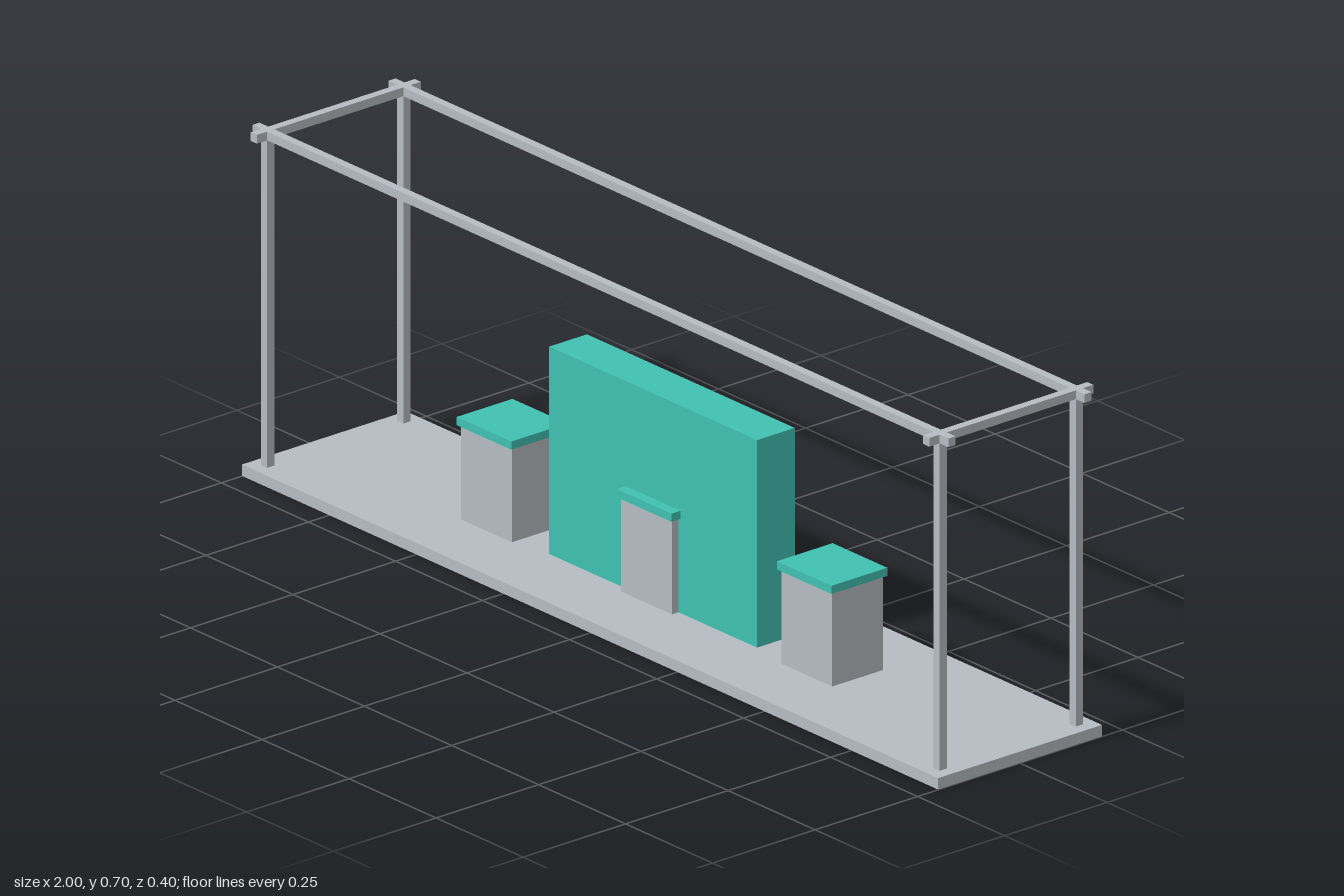
import * as THREE from 'three';

export function createModel() {
  const model = new THREE.Group();
  model.name = 'exhibitionStand';
  const grey = new THREE.MeshStandardMaterial({ color: 0xb5bcc2 });
  grey.name = 'light grey';
  const teal = new THREE.MeshStandardMaterial({ color: 0x40c1b2 });
  teal.name = 'teal';

  // Box given by its centre in x and z, and its bottom in y
  function box(name, material, w, h, d, x, y, z, parent = model) {
    const mesh = new THREE.Mesh(new THREE.BoxGeometry(w, h, d), material);
    mesh.name = name;
    mesh.position.set(x, y + h / 2, z);
    parent.add(mesh);
    return mesh;
  }

  // Floor, with the wall's foot showing just below its underside
  const floorTop = 0.0235;
  box('floor', grey, 2, floorTop - 0.0005, 0.4, 0, 0.0005, 0);
  box('displayWall', teal, 0.597, 0.441, 0.092, 0, 0, 0);

  // Three plinths, each with an overhanging cap
  for (const x of [-0.46, 0, 0.46]) {
    const plinth = new THREE.Group();
    plinth.name = 'plinth';
    plinth.position.x = x;
    box('plinthBody', grey, 0.146, 0.213 - floorTop, 0.124, 0, floorTop, 0, plinth);
    box('plinthCap', teal, 0.157, 0.0165, 0.136, 0, 0.213, 0, plinth);
    model.add(plinth);
  }

  // Open frame: four posts, with beams that cross over at the corners
  const t = 0.0175, px = 0.966, pz = 0.166, top = 0.7;
  const frame = new THREE.Group();
  frame.name = 'frame';
  model.add(frame);
  for (const s of [-1, 1]) {
    for (const r of [-1, 1]) {
      box('post', grey, t, top - floorTop, t, s * px, floorTop, r * pz, frame);
    }
    box('longBeam', grey, 2, t, t, 0, top - t, s * pz, frame);
    box('crossBeam', grey, t, t, 0.4, s * px, top - t, 0, frame);
  }
  return model;
}
